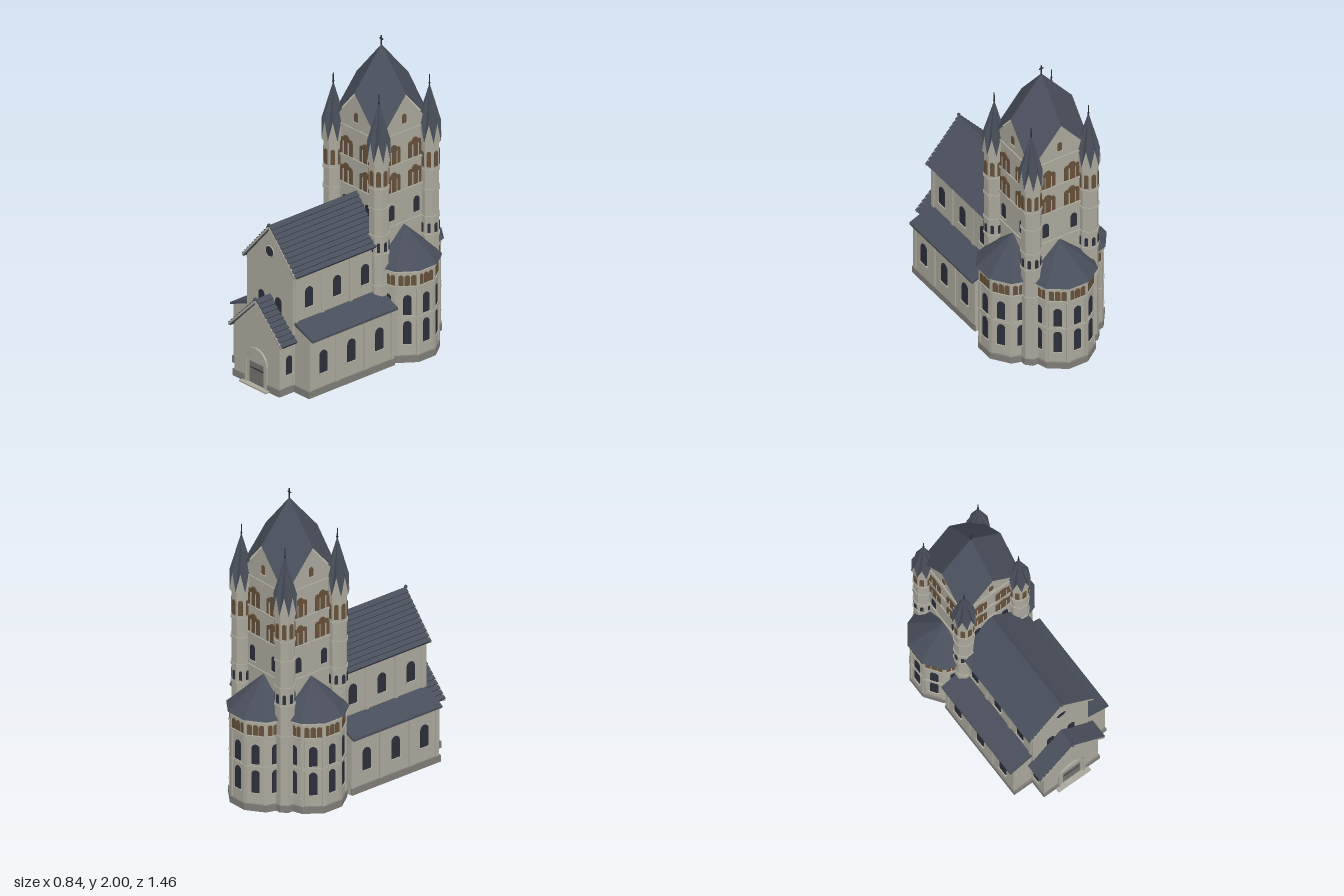
import * as THREE from 'three';

const mat = (name, color, side = THREE.FrontSide) => {
  const m = new THREE.MeshStandardMaterial({ color, side });
  m.name = name;
  return m;
};

export function createModel() {
  const stone = mat('pale stone', 0xaba89c);
  const plinthMat = mat('grey base stone', 0x807d78);
  const slate = mat('slate', 0x484e5a, THREE.DoubleSide);
  const glass = mat('dark glass', 0x2c2e3a);
  const wood = mat('brown louvre', 0x66513a);
  const doorMat = mat('door grey', 0x74716e);
  const iron = mat('iron', 0x2a2c33);

  const model = new THREE.Group();
  model.name = 'church';

  const group = (name, parent, x = 0, y = 0, z = 0, ry = 0) => {
    const g = new THREE.Group();
    g.name = name;
    g.position.set(x, y, z);
    g.rotation.y = ry;
    parent.add(g);
    return g;
  };
  const add = (parent, name, geo, m, x = 0, y = 0, z = 0, ry = 0) => {
    const flat = geo.index ? geo.toNonIndexed() : geo;
    flat.computeVertexNormals();
    const mesh = new THREE.Mesh(flat, m);
    mesh.name = name;
    mesh.position.set(x, y, z);
    mesh.rotation.y = ry;
    parent.add(mesh);
    return mesh;
  };
  // box standing on y
  const box = (p, name, m, w, h, d, x, y, z, ry = 0) =>
    add(p, name, new THREE.BoxGeometry(w, h, d), m, x, y + h / 2, z, ry);
  const poly = pts => new THREE.Shape(pts.map(([x, y]) => new THREE.Vector2(x, y)));
  const extrude = (shape, depth) =>
    new THREE.ExtrudeGeometry(shape, { depth, bevelEnabled: false, curveSegments: 6 });
  const archShape = (w, h, Type = THREE.Shape) => {
    const s = new Type(), r = w / 2;
    s.moveTo(-r, 0);
    s.lineTo(r, 0);
    s.lineTo(r, h - r);
    s.absarc(0, h - r, r, 0, Math.PI, false);
    s.closePath();
    return s;
  };
  // round-headed thin plate, with an optional sill
  const arch = (p, name, m, w, h, x, y, z, ry = 0, sill = true) => {
    const g = group(name, p, x, y, z, ry);
    add(g, name + 'Pane', extrude(archShape(w, h), 0.006), m, 0, 0, -0.002);
    if (sill) box(g, name + 'Sill', stone, w + 0.016, 0.008, 0.016, 0, -0.008, 0.003);
  };
  const prism = (p, name, m, r, h, y, sides = 8) =>
    add(p, name, new THREE.CylinderGeometry(r, r, h, sides, 1, false, Math.PI / sides), m, 0, y + h / 2, 0);
  const gable = (half, eave, ridge, base = 0) =>
    poly([[-half, base], [half, base], [half, eave], [0, ridge], [-half, eave]]);

  // roof with overlapping courses of tiles
  const tiledRoof = (p, name, half, eave, ridge, rows, z0, z1) => {
    const right = [];
    for (let i = 0; i < rows; i++) {
      const t = (i + 1) / rows;
      const x = half * t, y = ridge + (eave - ridge) * t;
      right.push([x + 0.006, y + 0.008], [x, y]);
    }
    const left = right.map(([x, y]) => [-x, y]).reverse();
    const under = [[half - 0.01, eave - 0.012], [0, ridge - 0.022], [-half + 0.01, eave - 0.012]];
    add(p, name, extrude(poly([...left, [0, ridge + 0.005], ...right, ...under]), z1 - z0), slate, 0, 0, z0);
    // stone verge on the front edge
    const verge = poly([[-half, eave - 0.012], [0, ridge - 0.018], [half, eave - 0.012],
      [half, eave + 0.004], [0, ridge], [-half, eave + 0.004]]);
    add(p, name + 'Verge', extrude(verge, 0.012), stone, 0, 0, z1 - 0.008);
    add(p, name + 'Ball', new THREE.SphereGeometry(0.011, 8, 6), slate, 0, ridge + 0.006, z1);
  };

  // ---- nave and aisles
  const nave = group('nave', model);
  add(nave, 'naveWalls', extrude(gable(0.205, 0.77, 1.005), 0.735), stone, 0, 0, -0.15);
  tiledRoof(nave, 'naveRoof', 0.235, 0.762, 1.03, 11, -0.14, 0.595);
  const rose = new THREE.CylinderGeometry(0.033, 0.033, 0.008, 16);
  rose.rotateX(Math.PI / 2);
  add(nave, 'roseWindow', rose, glass, 0, 0.86, 0.586);
  const roseRim = new THREE.TorusGeometry(0.035, 0.005, 4, 16);
  add(nave, 'roseRim', roseRim, stone, 0, 0.86, 0.587);
  for (const x of [-0.075, 0.075]) arch(nave, 'westWindow', glass, 0.05, 0.13, x, 0.45, 0.585);
  box(nave, 'navePlinth', plinthMat, 0.684, 0.045, 0.69, 0, 0, 0.237);
  const aisleShape = poly([[-0.333, 0], [0.333, 0], [0.333, 0.385], [0.2, 0.445], [-0.2, 0.445], [-0.333, 0.385]]);
  add(nave, 'aisleWalls', extrude(aisleShape, 0.68), stone, 0, 0, -0.11);
  for (const s of [-1, 1]) {
    const ry = s * Math.PI / 2;
    const roof = poly([[s * 0.2, 0.438], [s * 0.365, 0.374], [s * 0.365, 0.388], [s * 0.2, 0.458]]);
    add(nave, 'aisleRoof', extrude(roof, 0.69), slate, 0, 0, -0.115);
    for (const z of [0.46, 0.235, 0.01]) {
      arch(nave, 'aisleWindow', glass, 0.062, 0.145, s * 0.334, 0.14, z, ry);
      arch(nave, 'clerestoryWindow', glass, 0.06, 0.13, s * 0.206, 0.53, z, ry);
    }
    for (const z of [0.558, 0.35, 0.122, -0.095]) {
      box(nave, 'aislePilaster', stone, 0.012, 0.34, 0.024, s * 0.334, 0.04, z);
      box(nave, 'navePilaster', stone, 0.01, 0.32, 0.024, s * 0.206, 0.44, z);
    }
    box(nave, 'aisleCornice', stone, 0.014, 0.014, 0.68, s * 0.336, 0.363, 0.23);
    box(nave, 'naveCornice', stone, 0.014, 0.016, 0.63, s * 0.208, 0.742, 0.265);
  }

  // ---- porch
  const porch = group('porch', model);
  add(porch, 'porchWalls', extrude(gable(0.2, 0.355, 0.555), 0.11), stone, 0, 0, 0.58);
  tiledRoof(porch, 'porchRoof', 0.235, 0.338, 0.575, 10, 0.58, 0.705);
  for (const s of [-1, 1]) {
    box(porch, 'porchPlinth', plinthMat, 0.112, 0.045, 0.12, s * 0.152, 0, 0.639);
    arch(porch, 'porchWindow', glass, 0.045, 0.12, s * 0.201, 0.13, 0.615, s * Math.PI / 2);
  }
  const ring = (w, h, wi, hi) => {
    const s = archShape(w, h);
    s.holes.push(archShape(wi, hi, THREE.Path));
    return s;
  };
  add(porch, 'portalOuterArch', extrude(ring(0.196, 0.252, 0.164, 0.236), 0.016), stone, 0, 0, 0.688);
  add(porch, 'portalInnerArch', extrude(ring(0.164, 0.236, 0.13, 0.219), 0.009), stone, 0, 0, 0.688);
  box(porch, 'door', doorMat, 0.13, 0.15, 0.006, 0, 0, 0.69);
  box(porch, 'doorBar', iron, 0.118, 0.006, 0.006, 0, 0.108, 0.692);
  box(porch, 'doorstep', stone, 0.24, 0.01, 0.05, 0, 0, 0.703);

  // ---- crossing tower
  const tower = group('tower', model, 0, 0, -0.31);
  add(tower, 'towerWalls', extrude(gable(0.2, 1.445, 1.68), 0.4), stone, 0, 0, -0.2);
  add(tower, 'crossGable', extrude(gable(0.2, 1.445, 1.68, 1.4), 0.4), stone, -0.2, 0, 0, Math.PI / 2);
  for (const y of [0.825, 1.04, 1.225, 1.425])
    box(tower, 'stringCourse', stone, 0.416, 0.013, 0.416, 0, y, 0);
  for (let k = 0; k < 4; k++) {
    const face = group('towerFace', tower, 0, 0, 0, k * Math.PI / 2);
    arch(face, 'gableWindow', wood, 0.03, 0.06, 0, 1.49, 0.201);
    for (const s of [-1, 1]) {
      arch(face, 'towerWindow', glass, 0.042, 0.1, s * 0.1, 0.875, 0.201);
      for (const y of [1.06, 1.243]) {
        arch(face, 'belfryOpening', wood, 0.052, 0.128, s * 0.086, y, 0.203, 0, false);
        for (const o of [-0.036, 0.036]) {
          arch(face, 'belfrySideOpening', wood, 0.034, 0.108, s * 0.086 + o, y, 0.201, 0, false);
          box(face, 'belfryColumn', stone, 0.006, 0.085, 0.012, s * 0.086 + o * 0.62, y, 0.205);
        }
      }
    }
    // one diamond of the helm roof
    const helm = new THREE.BufferGeometry();
    const T = [0, 1.94, 0], A = [0, 1.685, 0.218], B = [0.218, 1.685, 0], C = [0.218, 1.43, 0.218];
    helm.setAttribute('position', new THREE.Float32BufferAttribute([...T, ...A, ...C, ...T, ...C, ...B], 3));
    add(face, 'helmRoof', helm, slate);
  }
  box(tower, 'crossPost', iron, 0.007, 0.07, 0.007, 0, 1.93, 0);
  box(tower, 'crossBar', iron, 0.03, 0.006, 0.006, 0, 1.974, 0);

  // ---- corner turrets
  const spireParts = (low, high, top, rc, rm) => {
    const at = (r, a, y) => [r * Math.sin(a), y, r * Math.cos(a)];
    const roof = [], gables = [], tip = [0, top, 0];
    for (let i = 0; i < 8; i++) {
      const a = (i - 0.5) * Math.PI / 4;
      const A = at(rc, a, low), B = at(rc, a + Math.PI / 4, low), M = at(rm, a + Math.PI / 8, high);
      roof.push(...A, ...M, ...tip, ...M, ...B, ...tip);
      gables.push(...A, ...B, ...M);
    }
    return [roof, gables].map(v =>
      new THREE.BufferGeometry().setAttribute('position', new THREE.Float32BufferAttribute(v, 3)));
  };
  for (const sx of [-1, 1]) for (const sz of [-1, 1]) {
    const t = group('turret', tower, sx * 0.203, 0, sz * 0.203);
    prism(t, 'turretShaft', stone, 0.062, 1.325, 0);
    prism(t, 'turretPlinth', plinthMat, 0.068, 0.045, 0);
    for (const y of [0.495, 0.7, 0.82, 1.0, 1.13, 1.31]) prism(t, 'turretBand', stone, 0.068, 0.014, y);
    for (let k = 0; k < 8; k++) {
      const f = group('turretFace', t, 0, 0, 0, k * Math.PI / 4);
      arch(f, 'turretOpening', wood, 0.027, 0.1, 0, 1.16, 0.058, 0, false);
      arch(f, 'turretSlit', glass, 0.02, 0.06, 0, 0.725, 0.058, 0, false);
    }
    const [roof, gables] = spireParts(1.32, 1.445, 1.69, 0.075, 0.07);
    add(t, 'spire', roof, slate);
    add(t, 'spireGables', gables, stone);
    add(t, 'finial', new THREE.CylinderGeometry(0.003, 0.004, 0.075, 6), iron, 0, 1.71, 0);
    add(t, 'finialBall', new THREE.SphereGeometry(0.007, 6, 5), iron, 0, 1.69, 0);
  }

  // ---- three five-sided apses
  const half = (r0, r1, h) =>
    new THREE.CylinderGeometry(r0, r1, h, 5, 1, false, -Math.PI / 2, Math.PI);
  for (const ry of [Math.PI / 2, Math.PI, -Math.PI / 2]) {
    const a = group('apse', tower, Math.sin(ry) * 0.2, 0, Math.cos(ry) * 0.2, ry);
    add(a, 'apseWall', half(0.206, 0.206, 0.61), stone, 0, 0.305, 0);
    add(a, 'apsePlinth', half(0.218, 0.218, 0.045), plinthMat, 0, 0.0225, 0);
    for (const y of [0.292, 0.495, 0.588]) add(a, 'apseCornice', half(0.215, 0.215, 0.014), stone, 0, y, 0);
    add(a, 'apseRoof', half(0.001, 0.23, 0.212), slate, 0, 0.716, 0);
    for (let k = -2; k <= 2; k++) {
      const f = group('apseFace', a, 0, 0, 0, k * Math.PI / 5);
      const d = 0.206 * Math.cos(Math.PI / 10);
      arch(f, 'apseLowerWindow', glass, 0.05, 0.15, 0, 0.12, d);
      arch(f, 'apseUpperWindow', glass, 0.05, 0.13, 0, 0.312, d);
      for (const x of [-0.039, 0, 0.039]) arch(f, 'galleryArch', wood, 0.033, 0.068, x, 0.506, d, 0, false);
    }
    for (let k = -2; k < 2; k++) {
      const q = (k + 0.5) * Math.PI / 5;
      box(a, 'apsePilaster', stone, 0.022, 0.56, 0.016, Math.sin(q) * 0.203, 0.03, Math.cos(q) * 0.203, q);
    }
  }
  return model;
}
